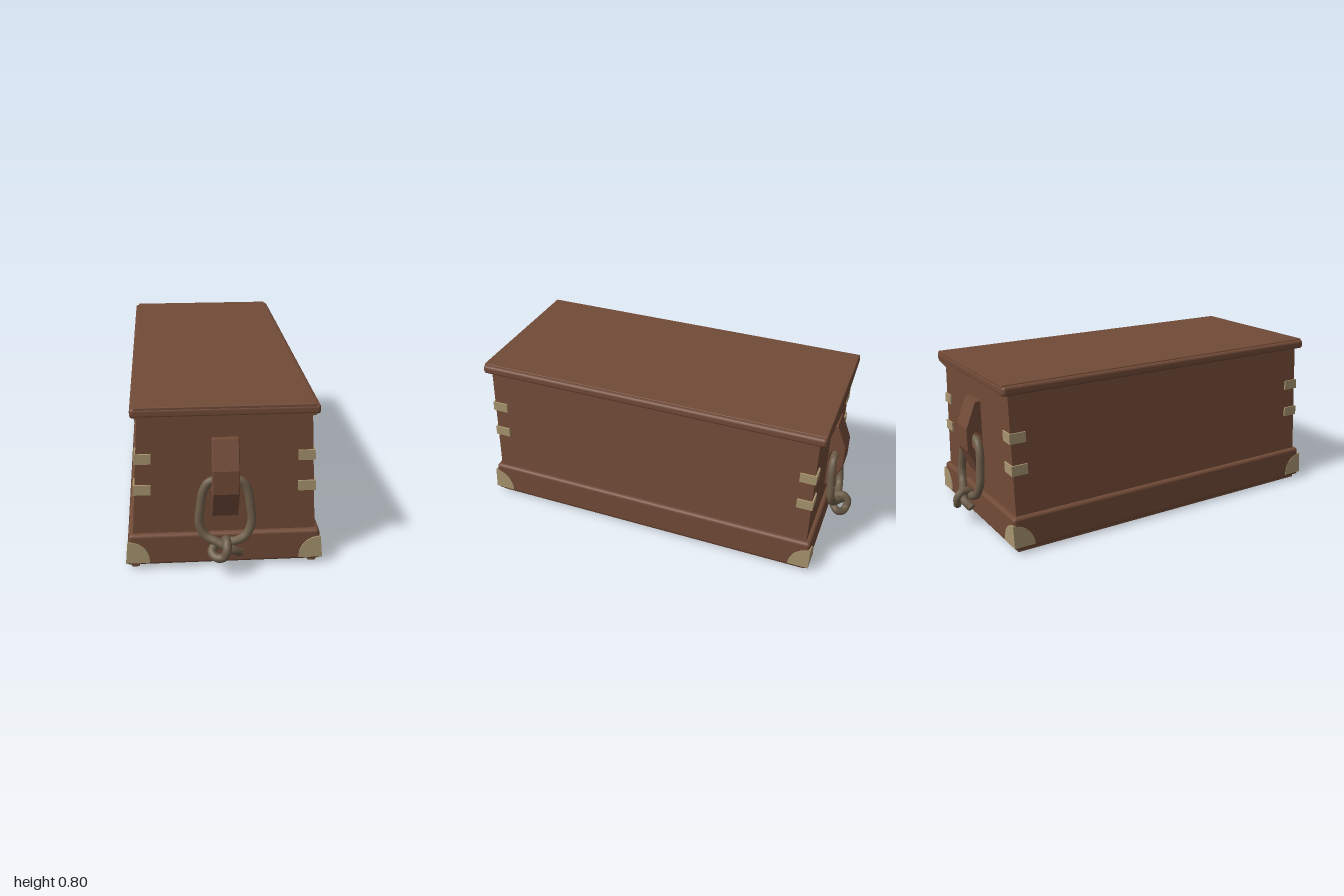
import * as THREE from 'three';
import { RoundedBoxGeometry } from 'three/addons/geometries/RoundedBoxGeometry.js';

const wood = new THREE.MeshStandardMaterial({ name: 'reddish brown wood', color: 0x714a37 });
const metal = new THREE.MeshStandardMaterial({ name: 'dull brass', color: 0xa8946f });
const cord = new THREE.MeshStandardMaterial({ name: 'old rope', color: 0x6c5c48 });

const BODY_Z = 0.857, BODY_LEAN = 0.06, SKIRT_LEAN = 0.1;
const bodyHalfWidth = (y) => 0.425 - BODY_LEAN * y;

function add(parent, name, geometry, material) {
  const mesh = new THREE.Mesh(geometry, material);
  mesh.name = name;
  parent.add(mesh);
  return mesh;
}

// box centred on (x, y, z)
function box(w, h, d, x, y, z, r = 0) {
  const g = r ? new RoundedBoxGeometry(w, h, d, 3, r) : new THREE.BoxGeometry(w, h, d);
  return g.translate(x, y, z);
}

// move x by a rule that depends on x and y
function moveX(geometry, rule) {
  const p = geometry.attributes.position;
  for (let i = 0; i < p.count; i++) p.setX(i, rule(p.getX(i), p.getY(i)));
  return geometry;
}

// quarter disc whose square corner is at the origin, spreading away from side s
function quarterDisc(s, r) {
  const shape = new THREE.Shape();
  shape.moveTo(0, 0);
  for (let i = 0; i <= 12; i++) {
    const a = (i / 12) * Math.PI / 2;
    shape.lineTo(-s * r * Math.cos(a), r * Math.sin(a));
  }
  return new THREE.ExtrudeGeometry(shape, { depth: 0.008, bevelEnabled: false });
}

// metal fittings at one corner of the chest
function cornerFittings(sx, sz) {
  const group = new THREE.Group();
  group.name = 'cornerFittings';
  for (const [y, len] of [[0.545, 0.075], [0.395, 0.08]]) {
    const w = bodyHalfWidth(y) + 0.008, z = BODY_Z + 0.008;
    const lean = (x, py) => x - sx * BODY_LEAN * (py - y);
    add(group, 'strapEnd', moveX(box(len, 0.048, 0.008, sx * (w - len / 2), y, sz * (z - 0.004)), lean), metal);
    add(group, 'strapSide', moveX(box(0.008, 0.048, 0.08, sx * (w - 0.004), y, sz * (z - 0.04)), lean), metal);
  }
  const lean = (x, py) => x - sx * SKIRT_LEAN * (py - 0.035);
  const end = quarterDisc(sx, 0.108).translate(sx * 0.451, 0.035, sz * 0.882 - 0.004);
  add(group, 'cornerCapEnd', moveX(end, lean), metal);
  const side = quarterDisc(sz, 0.105).rotateY(-Math.PI / 2).translate(sx * 0.447 + 0.004, 0.035, sz * 0.886);
  add(group, 'cornerCapSide', moveX(side, lean), metal);
  return group;
}

// wooden cleat with a knotted rope loop, and the lid's pointed apron
function endFittings() {
  const group = new THREE.Group();
  group.name = 'endFittings';

  const apron = new THREE.Shape();
  apron.moveTo(-0.39, 0.755);
  apron.lineTo(-0.39, 0.745);
  apron.lineTo(-0.025, 0.684);
  apron.quadraticCurveTo(0, 0.68, 0.025, 0.684);
  apron.lineTo(0.39, 0.745);
  apron.lineTo(0.39, 0.755);
  add(group, 'lidApron', new THREE.ExtrudeGeometry(apron, { depth: 0.033, bevelEnabled: false, curveSegments: 4 })
    .translate(0, 0, 0.855), wood);

  const profile = new THREE.Shape([
    [0.85, 0.269], [0.878, 0.269], [0.933, 0.4], [0.933, 0.51], [0.883, 0.636], [0.85, 0.636],
  ].map(([z, y]) => new THREE.Vector2(z, y)));
  const hole = new THREE.Path();
  hole.absellipse(0.887, 0.44, 0.027, 0.052, 0, Math.PI * 2, true);
  profile.holes.push(hole);
  const cleat = new THREE.ExtrudeGeometry(profile, {
    depth: 0.112, bevelThickness: 0.004, bevelSize: 0.004, bevelSegments: 1, curveSegments: 8,
  });
  add(group, 'cleat', cleat.rotateY(-Math.PI / 2).translate(0.056, 0, 0), wood);

  // tail, up one side, through the cleat, down the other side, around the knot
  const path = [
    [0.066, 0.105, 0.935], [0.025, 0.135, 0.955], [-0.04, 0.163, 0.935], [-0.09, 0.187, 0.915],
    [-0.117, 0.24, 0.905], [-0.112, 0.32, 0.897], [-0.098, 0.4, 0.89], [-0.07, 0.44, 0.887],
    [0, 0.443, 0.887], [0.07, 0.44, 0.887], [0.098, 0.4, 0.89], [0.112, 0.32, 0.897],
    [0.117, 0.24, 0.905], [0.09, 0.18, 0.915], [0.045, 0.158, 0.92], [0, 0.148, 0.91],
    [-0.045, 0.135, 0.915], [-0.064, 0.115, 0.94], [-0.045, 0.1, 0.965], [-0.012, 0.108, 0.978],
    [0.002, 0.145, 0.98], [0.003, 0.172, 0.955], [0, 0.165, 0.92], [-0.005, 0.135, 0.905],
  ].map((p) => new THREE.Vector3(...p));
  const curve = new THREE.CatmullRomCurve3(path);
  add(group, 'ropeLoop', new THREE.TubeGeometry(curve, 140, 0.02, 10), cord);
  for (const [at, dir] of [[0, -1], [1, 1]]) {
    const cap = new THREE.CircleGeometry(0.02, 10);
    const n = curve.getTangentAt(at).multiplyScalar(dir);
    cap.applyQuaternion(new THREE.Quaternion().setFromUnitVectors(new THREE.Vector3(0, 0, 1), n));
    add(group, 'ropeEnd', cap, cord).position.copy(curve.getPointAt(at));
  }
  return group;
}

export function createModel() {
  const model = new THREE.Group();
  model.name = 'seaChest';

  // tapered body
  const body = moveX(box(2, 0.7, BODY_Z * 2, 0, 0.4, 0), (x, y) => x * bodyHalfWidth(y));
  body.computeVertexNormals();
  add(model, 'body', body, wood);

  // leaning skirt around the foot
  const skirt = box(0.9, 0.155, 1.76, 0, 0.0975, 0, 0.016);
  add(model, 'skirt', moveX(skirt, (x, y) => x - Math.sign(x) * SKIRT_LEAN * (y - 0.02)), wood);

  // lid with a raised top board
  add(model, 'lid', box(0.82, 0.045, 1.78, 0, 0.768, 0, 0.015), wood);
  add(model, 'lidBoard', box(0.785, 0.03, 1.775, 0, 0.781, 0, 0.004), wood);

  for (const sx of [-1, 1]) {
    add(model, 'footRail', box(0.038, 0.03, 1.72, sx * 0.408, 0.015, 0, 0.006), wood);
    for (const sz of [-1, 1]) model.add(cornerFittings(sx, sz));
  }

  const front = endFittings();
  const back = endFittings();
  back.rotation.y = Math.PI;
  model.add(front, back);
  return model;
}
